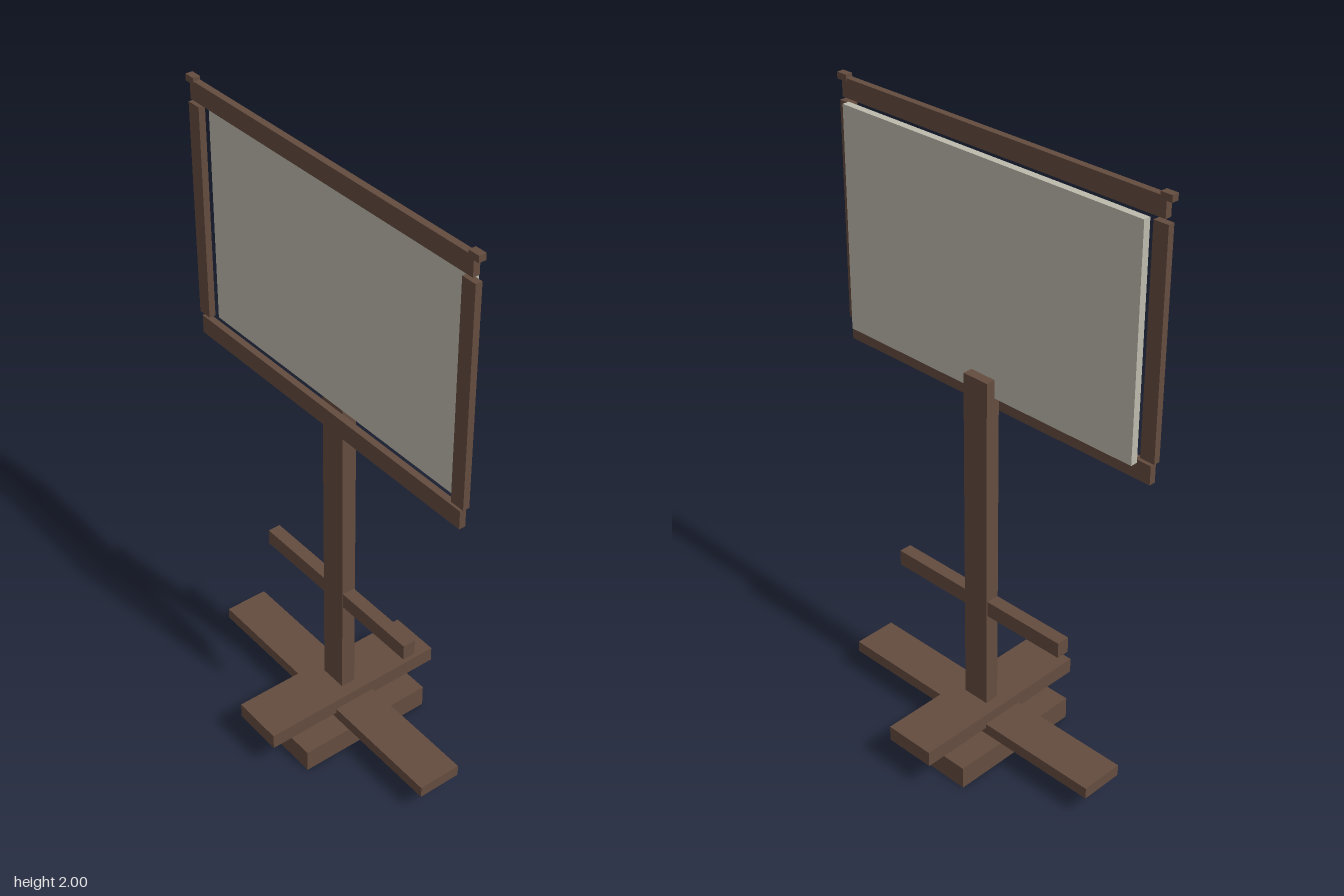
import * as THREE from 'three';

export function createModel() {
  const model = new THREE.Group();
  model.name = 'signBoard';

  const wood = new THREE.MeshStandardMaterial({ color: 0x644c3e });
  wood.name = 'dark wood';
  const panel = new THREE.MeshStandardMaterial({ color: 0xbdbaad });
  panel.name = 'pale panel';

  // Box given by its extents along each axis
  function slab(name, [x0, x1], [y0, y1], [z0, z1], material = wood) {
    const mesh = new THREE.Mesh(new THREE.BoxGeometry(x1 - x0, y1 - y0, z1 - z0), material);
    mesh.position.set((x0 + x1) / 2, (y0 + y1) / 2, (z0 + z1) / 2);
    mesh.name = name;
    model.add(mesh);
  }

  // Stacked foot
  slab('baseBlock', [-0.145, 0.145], [0, 0.075], [-0.231, 0.231]);
  slab('crossPlank', [-0.497, 0.497], [0.08, 0.118], [-0.072, 0.072]);
  slab('footBeam', [-0.085, 0.085], [0.102, 0.153], [-0.314, 0.314]);

  // Post and its short crossbar
  slab('post', [-0.046, 0.045], [0.12, 1.288], [-0.03, 0.018]);
  slab('crossbar', [-0.332, 0.332], [0.488, 0.54], [-0.026, 0.016]);

  // Board
  slab('board', [-0.544, 0.544], [1.229, 1.93], [0.001, 0.024], panel);

  // Frame standing just in front of the board
  const frameZ = [0.035, 0.056];
  slab('topRail', [-0.582, 0.582], [1.932, 1.99], frameZ);
  slab('bottomRail', [-0.582, 0.582], [1.17, 1.23], frameZ);
  for (const [side, s] of [['left', 1], ['right', -1]]) {
    const span = (a, b) => (s > 0 ? [a, b] : [-b, -a]);
    slab(side + 'Stile', span(0.545, 0.593), [1.239, 1.92], frameZ);
    slab(side + 'Cap', span(0.563, 0.6), [1.98, 2], [0.034, 0.057]);
  }
  return model;
}
